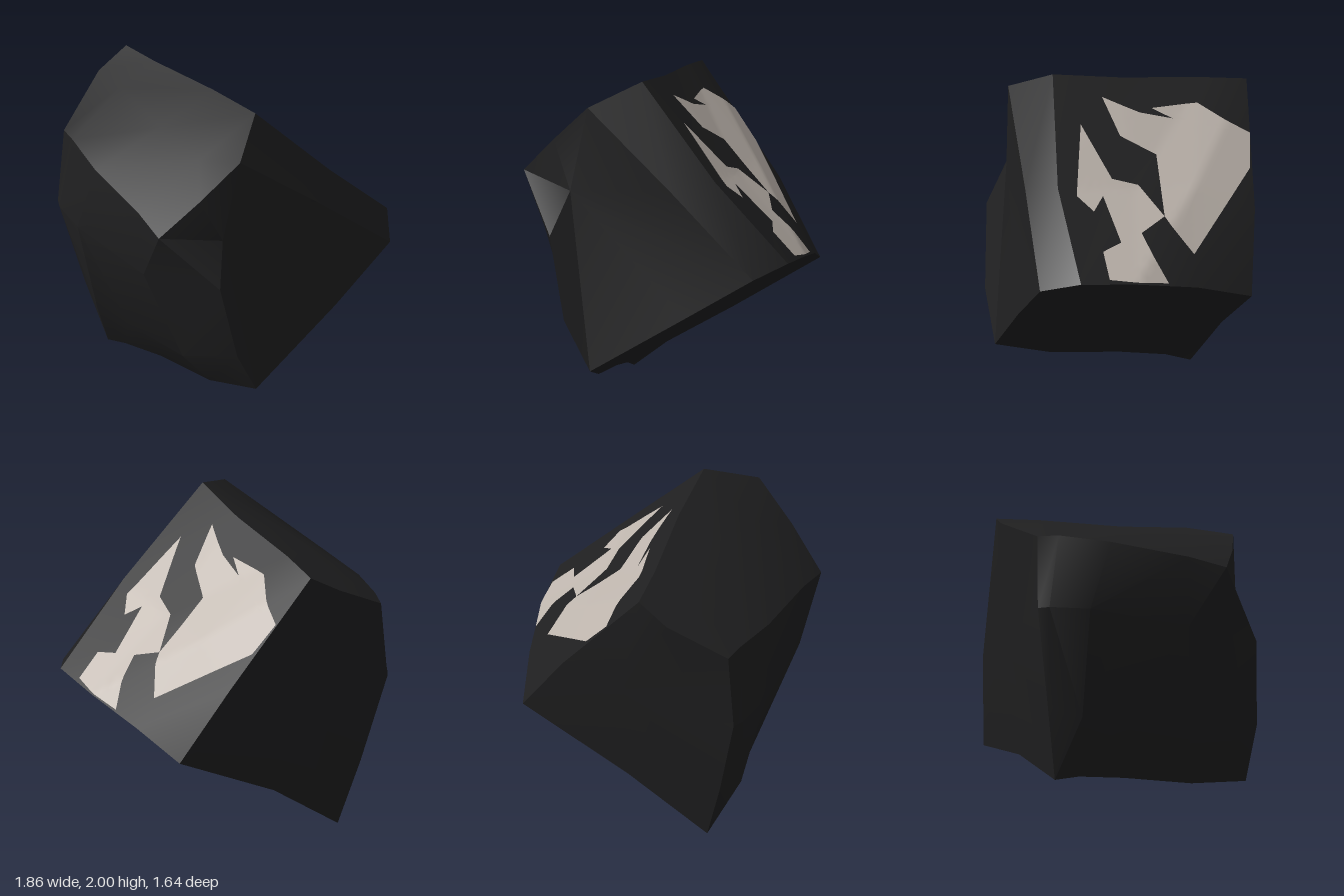
import * as THREE from 'three';
import { toCreasedNormals } from 'three/addons/utils/BufferGeometryUtils.js';

const V = (a) => new THREE.Vector3(...a);

// Rings from front to back; each runs bottom, right, ridge, left, bottom again
const rings = [
  [[-0.17, 0.24, 0.76], [0.42, 0.61, 0.62], [0.84, 0.88, 0.49], [0.3, 1.38, 0.58], [-0.24, 1.86, 0.68],
    [-0.5, 1.63, 0.66], [-0.75, 1.4, 0.61], [-0.43, 1.06, 0.81], [-0.32, 0.55, 0.82]],
  [[-0.33, 0.14, 0.42], [0.5, 0.66, 0.35], [0.93, 0.95, 0.24], [0.49, 1.43, 0.38], [-0.02, 2, 0.41],
    [-0.4, 1.76, 0.42], [-0.78, 1.45, 0.38], [-0.75, 1.0, 0.38], [-0.5, 0.35, 0.4]],
  [[-0.47, 0.1, 0], [0.25, 0.53, -0.1], [0.83, 0.92, -0.1], [0.36, 1.38, -0.08], [-0.12, 1.95, 0],
    [-0.47, 1.77, 0], [-0.86, 1.5, -0.1], [-0.92, 1.02, -0.23], [-0.66, 0.35, -0.05]],
  [[-0.58, 0.05, -0.28], [0.1, 0.46, -0.42], [0.66, 0.85, -0.47], [0.23, 1.38, -0.47], [-0.29, 1.9, -0.5],
    [-0.52, 1.77, -0.5], [-0.87, 1.53, -0.42], [-0.93, 1.02, -0.48], [-0.77, 0.36, -0.27]],
  [[-0.63, 0, -0.43], [-0.17, 0.38, -0.62], [0.48, 0.74, -0.8], [0.17, 1.2, -0.82], [-0.36, 1.87, -0.77],
    [-0.55, 1.75, -0.75], [-0.87, 1.52, -0.55], [-0.91, 1.02, -0.55], [-0.76, 0.43, -0.48]],
].map((ring) => ring.map(V));
const frontCentre = V([-0.36, 1.33, 0.69]);
const backCentre = V([-0.2, 1.1, -0.74]);

// Outlines of the pale patches on the sloping side, as [z, y]
const patches = {
  upperPalePatch: [[0.11, 1.86], [-0.12, 1.76], [-0.32, 1.71], [-0.19, 1.775], [-0.47, 1.775], [-0.79, 1.59],
    [-0.79, 1.41], [-0.45, 1.02], [-0.27, 1.235], [-0.22, 1.54], [0, 1.655]],
  lowerPalePatch: [[0.24, 1.735], [0.05, 1.445], [-0.11, 1.4], [-0.27, 1.235], [-0.13, 1.165], [-0.295, 0.895],
    [0.065, 0.955], [0.105, 1.095], [-0.005, 1.13], [0.105, 1.365], [0.16, 1.295], [0.265, 1.38]],
};

function trianglesToGeometry(points) {
  const geometry = new THREE.BufferGeometry().setFromPoints(points);
  geometry.computeVertexNormals();
  return toCreasedNormals(geometry, 0.4);
}

// Skin between neighbouring rings, closed by a fan at the front and back
function rockGeometry() {
  const tris = [];
  const count = rings[0].length;
  const last = rings[rings.length - 1];
  for (let j = 0; j < count; j++) {
    const k = (j + 1) % count;
    tris.push(frontCentre, rings[0][j], rings[0][k]);
    for (let i = 0; i < rings.length - 1; i++) {
      const a = rings[i][j], b = rings[i][k], c = rings[i + 1][k], d = rings[i + 1][j];
      tris.push(a, d, c, a, c, b);
    }
    tris.push(backCentre, last[k], last[j]);
  }
  return trianglesToGeometry(tris);
}

// Halve the longest edge until the triangle is small enough to follow the rock
function split(a, b, c, out) {
  const ab = a.distanceTo(b), bc = b.distanceTo(c), ca = c.distanceTo(a);
  const longest = Math.max(ab, bc, ca);
  if (longest < 0.05) return out.push(a, b, c);
  if (longest === bc) return split(b, c, a, out);
  if (longest === ca) return split(c, a, b, out);
  const m = a.clone().add(b).multiplyScalar(0.5);
  split(a, m, c, out);
  split(m, b, c, out);
}

// Lay a flat outline onto the sloping side of the rock
function patchGeometry(outline, rock) {
  const flat = new THREE.ShapeGeometry(new THREE.Shape(outline.map(([z, y]) => new THREE.Vector2(-z, y))));
  const position = flat.attributes.position;
  const corner = (i) => new THREE.Vector3().fromBufferAttribute(position, flat.index.getX(i));
  const points = [];
  for (let i = 0; i < flat.index.count; i += 3) split(corner(i), corner(i + 1), corner(i + 2), points);
  const ray = new THREE.Raycaster();
  const inward = new THREE.Vector3(-1, 0, 0);
  return trianglesToGeometry(points.map((p) => {
    ray.set(new THREE.Vector3(3, p.y, -p.x), inward);
    const hit = ray.intersectObject(rock)[0];
    const x = hit ? hit.point.x : 1.45 - p.y;
    return new THREE.Vector3(x + 0.006, p.y + 0.005, -p.x);
  }));
}

export function createModel() {
  const charcoal = new THREE.MeshStandardMaterial({ color: 0x202021 });
  charcoal.name = 'charcoal';
  const paleStone = new THREE.MeshStandardMaterial({ color: 0xc2b9b1, side: THREE.DoubleSide });
  paleStone.name = 'paleStone';

  const group = new THREE.Group();
  group.name = 'rock';

  const rock = new THREE.Mesh(rockGeometry(), charcoal);
  rock.name = 'rockBody';
  group.add(rock);

  for (const [name, outline] of Object.entries(patches)) {
    const patch = new THREE.Mesh(patchGeometry(outline, rock), paleStone);
    patch.name = name;
    group.add(patch);
  }
  return group;
}
